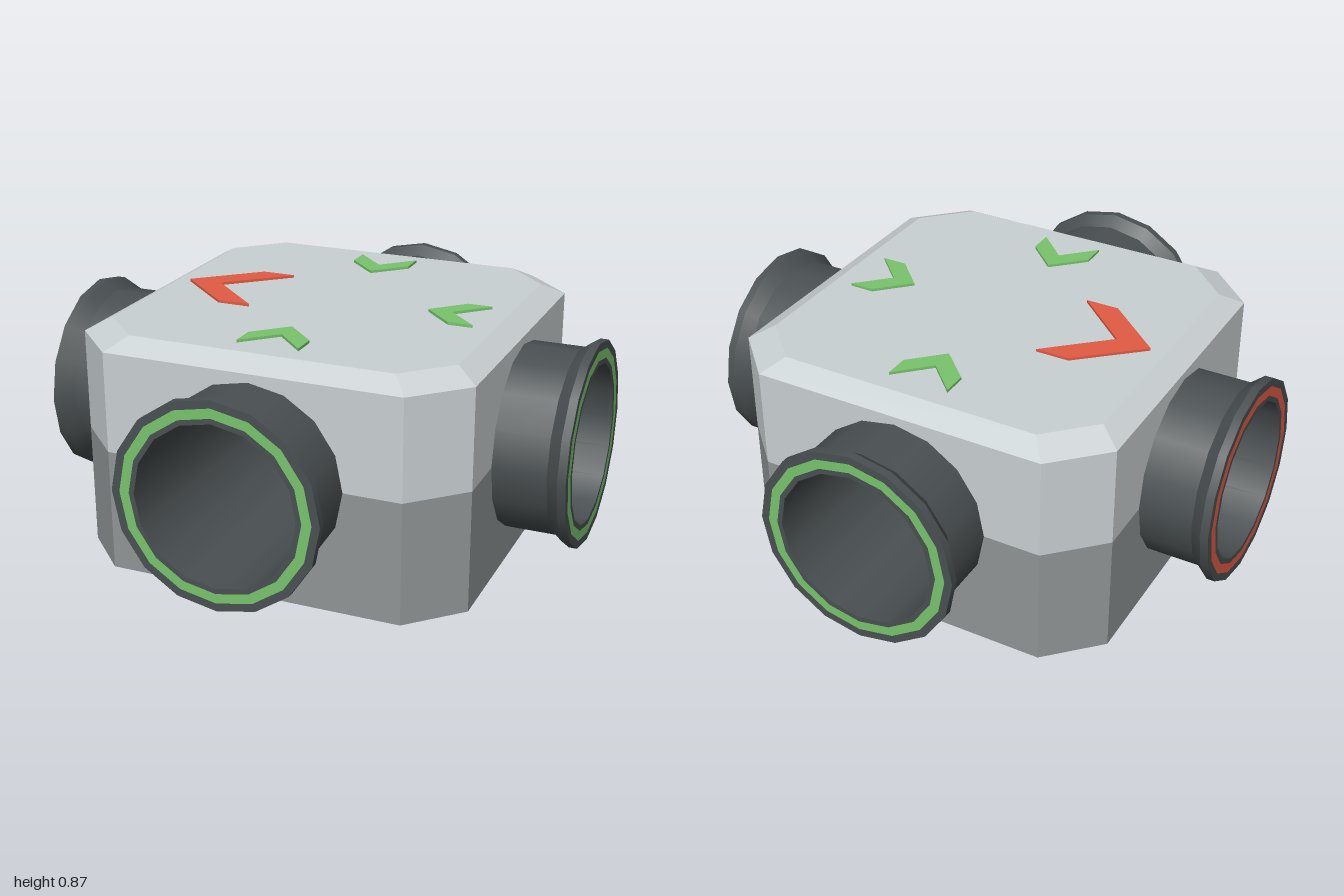
import * as THREE from 'three';
import { mergeGeometries } from 'three/addons/utils/BufferGeometryUtils.js';

const SIDES = 16, AXIS_Y = 0.45;            // pipe facets and pipe centre height
const HALF = 0.73, CUT = 0.55;              // octagonal housing half width and corner cut
const SHOULDER = 0.82, TOP = 0.865, INSET = 0.89;
const PIPE_R = 0.34, BORE_R = 0.293, SLEEVE_R = 0.297;

function material(name, color, side = THREE.FrontSide) {
  const m = new THREE.MeshStandardMaterial({ color, side });
  m.name = name;
  return m;
}

function add(parent, name, geometry, mat) {
  const mesh = new THREE.Mesh(geometry, mat);
  mesh.name = name;
  parent.add(mesh);
  return mesh;
}

// Lathe each profile segment on its own, so its edges stay sharp; axis ends along +z
function lathe(profile) {
  const parts = [];
  for (let i = 0; i + 1 < profile.length; i++) {
    const pts = [profile[i], profile[i + 1]].map(([r, y]) => new THREE.Vector2(r, y));
    parts.push(new THREE.LatheGeometry(pts, SIDES));
  }
  return mergeGeometries(parts).rotateX(Math.PI / 2);
}

// Outside of the bore, mitred at 45 degrees where the arms meet, and the lining of the thicker pipe end
function sleeveGeometry() {
  const g = lathe([[SLEEVE_R, 0], [SLEEVE_R, 0.99], [0.337, 0.99], [0.337, HALF]]);
  const p = g.attributes.position;
  for (let i = 0; i < p.count; i++) {
    if (Math.abs(p.getZ(i)) < 1e-4) p.setZ(i, Math.abs(p.getX(i)));
  }
  return g;
}

// Half of a side wall, above (s = 1) or below (s = -1) the pipe axis, notched for the pipe
function wallHalf(s, height) {
  const pts = [[-CUT, 0], [-CUT, s * height], [CUT, s * height], [CUT, 0]];
  for (let i = 0; i <= SIDES / 2; i++) {
    const a = i * 2 * Math.PI / SIDES;
    pts.push([PIPE_R * Math.cos(a), s * PIPE_R * Math.sin(a)]);
  }
  const shape = new THREE.Shape(pts.map(([x, y]) => new THREE.Vector2(x, y)));
  return new THREE.ShapeGeometry(shape).translate(0, AXIS_Y, HALF);
}

// Sloped shoulder and flat lid of the housing
function lidGeometry() {
  const ring = [[CUT, HALF], [HALF, CUT], [HALF, -CUT], [CUT, -HALF],
    [-CUT, -HALF], [-HALF, -CUT], [-HALF, CUT], [-CUT, HALF]];
  const pos = [];
  ring.forEach(([x, z], i) => {
    const [u, w] = ring[(i + 1) % 8];
    const a = [x, SHOULDER, z], b = [u, SHOULDER, w];
    const c = [u * INSET, TOP, w * INSET], d = [x * INSET, TOP, z * INSET];
    pos.push(...a, ...b, ...c, ...a, ...c, ...d, ...d, ...c, 0, TOP, 0);
  });
  const g = new THREE.BufferGeometry();
  g.setAttribute('position', new THREE.Float32BufferAttribute(pos, 3));
  g.computeVertexNormals();
  return g;
}

// Chevron lying flat with its tip towards -x
function chevron(tip, shoulder, back, notch, half) {
  const pts = [[tip, 0], [shoulder, -half], [back, -half], [notch, 0], [back, half], [shoulder, half]];
  const shape = new THREE.Shape(pts.map(([x, y]) => new THREE.Vector2(x, y)));
  return new THREE.ExtrudeGeometry(shape, { depth: 0.0099, bevelEnabled: false })
    .rotateX(-Math.PI / 2).translate(0, TOP, 0);
}

export function createModel() {
  const upper = material('light grey housing', 0xcad1d3, THREE.DoubleSide);
  const lower = material('mid grey housing', 0x909596, THREE.DoubleSide);
  const dark = material('dark pipe', 0x4a5052);
  const green = material('inlet green', 0x78c46c);
  const red = material('outlet red', 0xe25b43);

  const model = new THREE.Group();
  model.name = 'pipeJunction';

  // Housing, open underneath
  const housing = new THREE.Group();
  housing.name = 'housing';
  model.add(housing);
  add(housing, 'lid', lidGeometry(), upper);
  const rise = SHOULDER - AXIS_Y;
  const cornerWidth = (HALF - CUT) * Math.SQRT2, cornerDistance = (HALF + CUT) / Math.SQRT2;
  for (let i = 0; i < 4; i++) {
    const side = new THREE.Group();
    side.name = 'housingSide';
    side.rotation.y = i * Math.PI / 2;
    housing.add(side);
    add(side, 'upperWall', wallHalf(1, rise), upper);
    add(side, 'lowerWall', wallHalf(-1, AXIS_Y), lower);
    const corner = (h, y) => new THREE.PlaneGeometry(cornerWidth, h)
      .translate(0, y, cornerDistance).rotateY(Math.PI / 4);
    add(side, 'upperCorner', corner(rise, AXIS_Y + rise / 2), upper);
    add(side, 'lowerCorner', corner(AXIS_Y, AXIS_Y / 2), lower);
  }

  // Four flanged pipe arms; the one at -x is the outlet
  const skin = lathe([[PIPE_R, HALF], [PIPE_R, 0.925], [0.376, 0.97], [0.376, 1], [0.347, 1]]);
  const sleeve = sleeveGeometry();
  const band = new THREE.RingGeometry(0.312, 0.347, SIDES).translate(0, 0, 1);
  for (let i = 0; i < 4; i++) {
    const arm = new THREE.Group();
    arm.name = i === 3 ? 'outletArm' : 'inletArm';
    arm.position.y = AXIS_Y;
    arm.rotation.y = i * Math.PI / 2;
    model.add(arm);
    add(arm, 'pipe', skin, dark);
    add(arm, 'sleeve', sleeve, dark);
    add(arm, 'rimBand', band, i === 3 ? red : green);
  }

  // Two crossing bores with inward faces
  const bore = lathe([[0.312, 1], [BORE_R, 1], [BORE_R, -1], [0.312, -1]]);
  for (let i = 0; i < 2; i++) {
    const mesh = add(model, 'bore', bore, dark);
    mesh.position.y = AXIS_Y;
    mesh.rotation.y = i * Math.PI / 2;
  }

  // Flow arrows on the lid
  add(model, 'outletArrow', chevron(-0.595, -0.375, -0.25, -0.465, 0.198), red);
  const inlet = chevron(0.37, 0.483, 0.575, 0.46, 0.115);
  for (const turn of [-1, 0, 1]) {
    add(model, 'inletArrow', inlet, green).rotation.y = turn * Math.PI / 2;
  }
  return model;
}
